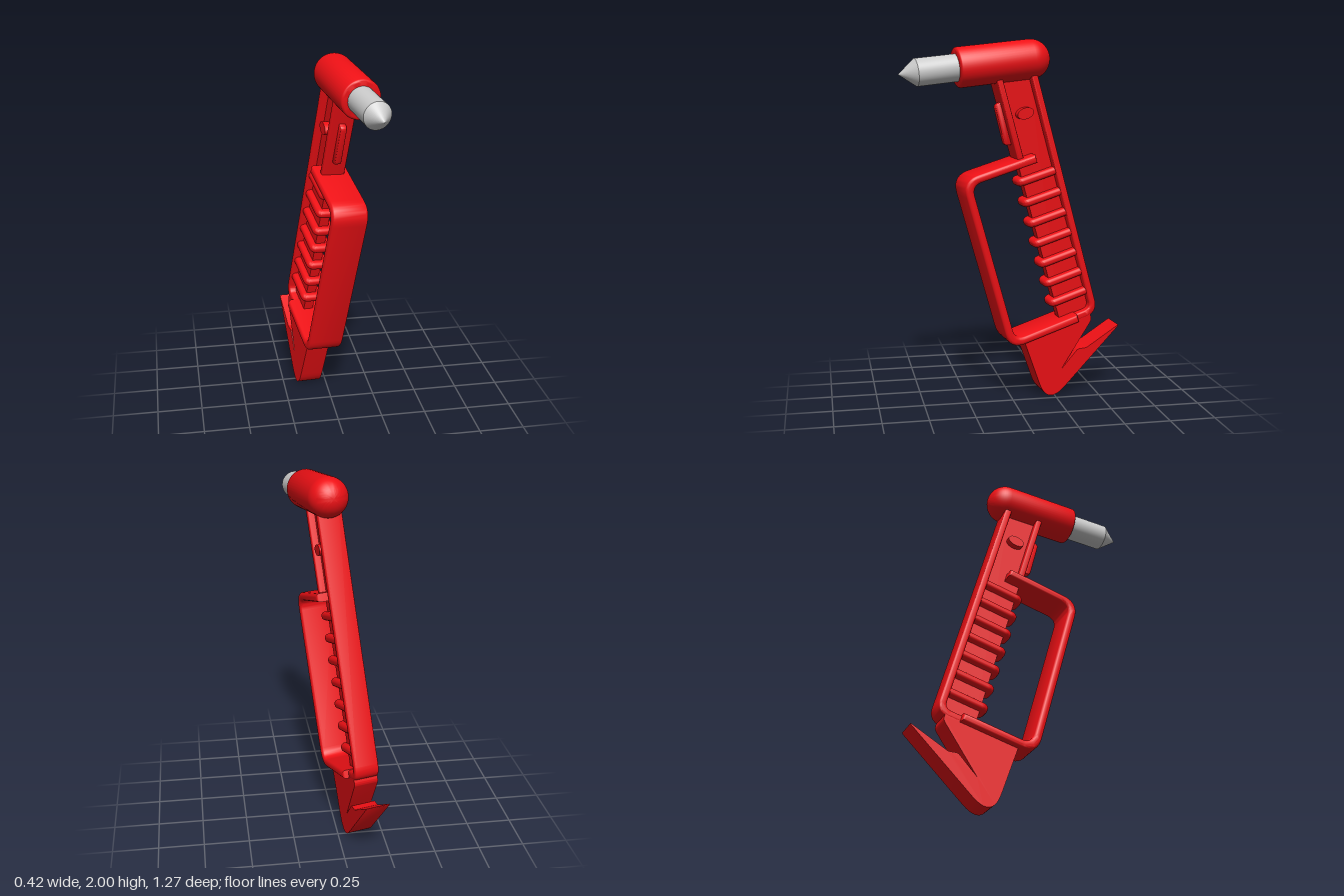
import * as THREE from 'three';
import { toCreasedNormals } from 'three/addons/utils/BufferGeometryUtils.js';

const red = new THREE.MeshStandardMaterial({ color: 0xee1015 });
const steel = new THREE.MeshStandardMaterial({ color: 0xcccccc });

// Closed outline from [x, y, cut] corners; cut is the length rounded off at a corner.
function outline(corners) {
  const shape = new THREE.Shape();
  const n = corners.length;
  corners.forEach(([x, y, cut = 0], i) => {
    const p = new THREE.Vector2(x, y);
    const toward = (q) => p.clone().add(new THREE.Vector2(q[0], q[1]).sub(p).setLength(cut));
    const a = cut ? toward(corners[(i + n - 1) % n]) : p;
    if (i === 0) shape.moveTo(a.x, a.y);
    else shape.lineTo(a.x, a.y);
    if (cut) {
      const b = toward(corners[(i + 1) % n]);
      shape.quadraticCurveTo(x, y, b.x, b.y);
    }
  });
  shape.closePath();
  return shape;
}

// Extrusion centred on its depth, with softened edges kept inside the outline.
function slab(corners, depth, bevel = 0) {
  const geo = new THREE.ExtrudeGeometry(outline(corners), {
    depth: depth - 2 * bevel, curveSegments: 10,
    bevelEnabled: bevel > 0, bevelSize: bevel, bevelThickness: bevel,
    bevelOffset: -bevel, bevelSegments: 4,
  });
  geo.translate(0, 0, -depth / 2 + bevel);
  return toCreasedNormals(geo, 0.65);
}

export function createModel() {
  const model = new THREE.Group();
  model.name = 'emergencyHammer';

  // Tool frame: Y along the handle, Z toward the striking side, origin in the head.
  const tool = new THREE.Group();
  tool.name = 'tool';
  const w = new THREE.Vector3(0.984, -0.061, -0.165).normalize();
  const f = new THREE.Vector3(0.141, -0.29, 0.946).normalize();
  const u = f.clone().cross(w).normalize();
  f.crossVectors(w, u);
  tool.quaternion.setFromRotationMatrix(new THREE.Matrix4().makeBasis(w, u, f));
  tool.position.set(0.032, 1.892, -0.085);
  model.add(tool);

  const add = (name, geo, mat = red, parent = tool) => {
    const mesh = new THREE.Mesh(geo, mat);
    mesh.name = name;
    parent.add(mesh);
    return mesh;
  };
  // Side profiles are drawn as [z, y] and extruded across the width.
  const side = (name, corners, width, bevel) => {
    const geo = slab(corners, width, bevel);
    geo.rotateY(-Math.PI / 2);
    return add(name, geo);
  };

  // Head: domed barrel with a pointed steel tip, tilted up from the handle's normal
  const head = new THREE.Group();
  head.name = 'head';
  head.rotation.x = Math.PI / 2 - 0.182;
  tool.add(head);
  const R = 0.107;
  const barrel = [];
  for (let i = 0; i <= 12; i++) {
    const a = (i / 12) * Math.PI / 2;
    barrel.push(new THREE.Vector2(R * Math.sin(a), -R * Math.cos(a)));
  }
  for (let i = 0; i <= 4; i++) {
    const a = (i / 4) * Math.PI / 2;
    barrel.push(new THREE.Vector2(R - 0.015 + 0.015 * Math.cos(a), 0.402 + 0.015 * Math.sin(a)));
  }
  barrel.push(new THREE.Vector2(0, 0.417));
  add('headBarrel', toCreasedNormals(new THREE.LatheGeometry(barrel, 48), 0.6), red, head);
  const tip = [[0, 0.4], [0.073, 0.4], [0.073, 0.635], [0, 0.728]].map((p) => new THREE.Vector2(...p));
  add('steelTip', toCreasedNormals(new THREE.LatheGeometry(tip, 40), 0.5), steel, head);

  // Handle: back strip turning forward at the foot, front flange and thin web
  side('backStrip', [
    [0, 0], [0, -1.49, 0.08], [0.3, -1.49], [0.3, -1.448], [0.04, -1.448, 0.04], [0.04, 0],
  ], 0.134, 0.012);
  side('frontFlange', [[0.195, 0.03], [0.195, -0.5], [0.23, -0.5], [0.23, 0.03]], 0.13, 0.01);
  side('web', [[0.02, 0.03], [0.02, -1.47], [0.225, -1.47], [0.225, 0.03]], 0.055);

  // Hand guard: wide C-shaped band
  side('handGuard', [
    [0.135, -0.485], [0.57, -0.485, 0.1], [0.57, -1.49, 0.1], [0.135, -1.49],
    [0.135, -1.444], [0.522, -1.444, 0.06], [0.522, -0.531, 0.06], [0.135, -0.531],
  ], 0.2, 0.018);

  // Grip ribs wrapped round the front of the web
  for (let i = 0; i < 7; i++) {
    const rib = slab([
      [-0.062, 0.02], [0.062, 0.02], [0.062, 0.264, 0.045], [-0.062, 0.264, 0.045],
    ], 0.046, 0.02);
    rib.rotateX(Math.PI / 2);
    add('gripRib', rib).position.y = -0.615 - i * 0.121;
  }

  // Oval boss through the web, and the narrow fin on the front flange
  const boss = new THREE.CylinderGeometry(1, 1, 0.125, 28);
  boss.rotateZ(Math.PI / 2);
  boss.scale(1, 0.03, 0.048);
  add('boss', boss).position.set(0, -0.26, 0.12);
  side('fin', [[0.21, -0.165], [0.21, -0.41], [0.268, -0.4, 0.02], [0.262, -0.175, 0.02]], 0.036, 0.006);

  // Belt cutter: foot with a sharp hooked prong
  side('beltCutter', [
    [0.47, -1.46], [0.05, -1.46], [0.05, -1.515, 0.02], [0.304, -1.731],
    [0.175, -1.652, 0.012], [0.125, -1.666, 0.012], [-0.1, -1.608], [-0.094, -1.616],
    [0.44, -1.91, 0.15],
  ], 0.132);

  return model;
}
